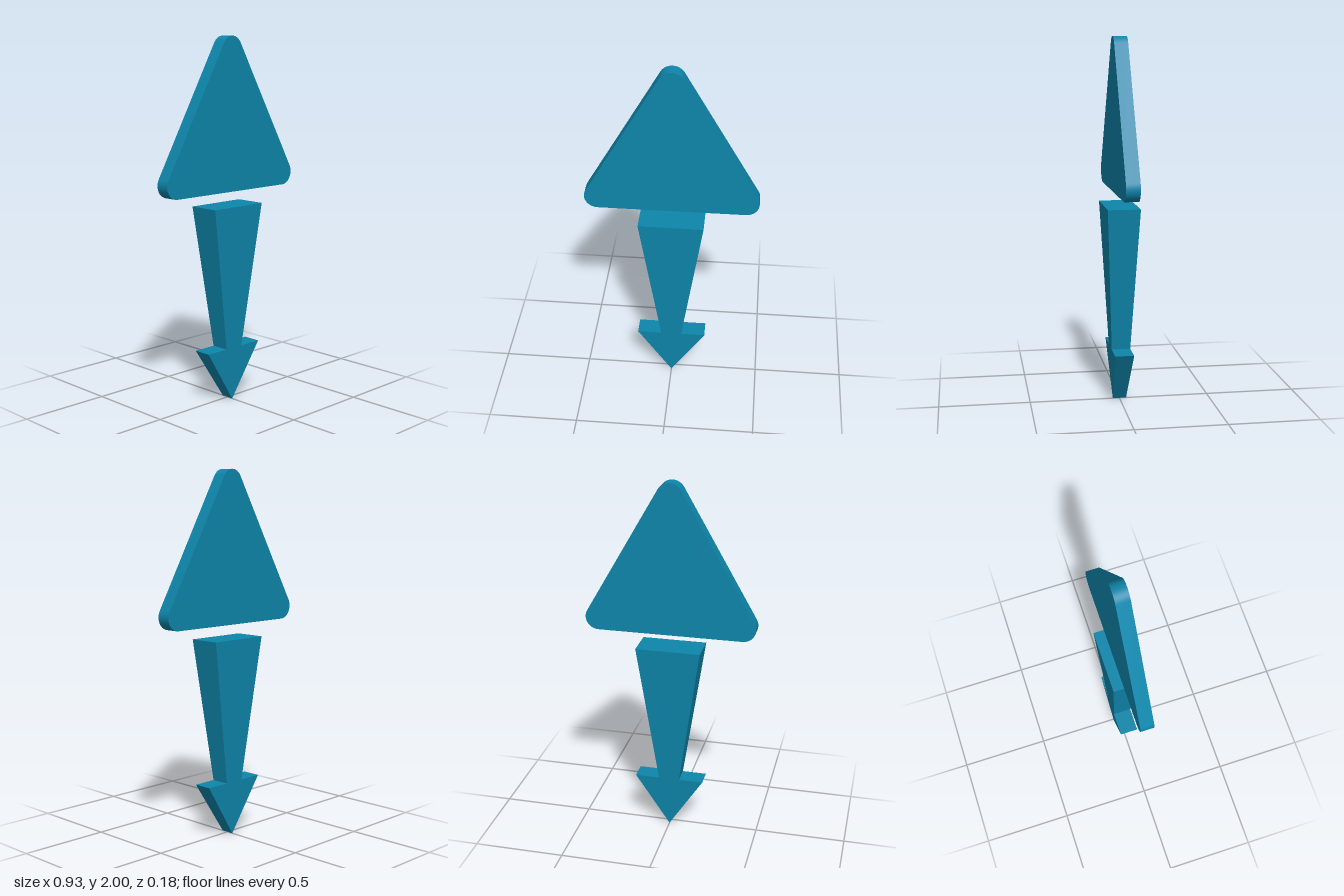
import * as THREE from 'three';
import { toCreasedNormals } from 'three/addons/utils/BufferGeometryUtils.js';

const material = new THREE.MeshStandardMaterial({ color: 0x0e86ab });

function extrudeCentred(shape, depth, curveSegments = 6) {
  const geometry = new THREE.ExtrudeGeometry(shape, { depth, bevelEnabled: false, curveSegments });
  return geometry.translate(0, 0, -depth / 2);
}

// Equilateral plate with rounded corners
function makeTriangle() {
  const r = 0.07;
  const centres = [[-0.397, 1.24], [0.397, 1.24], [0, 1.93]];
  const shape = new THREE.Shape();
  centres.forEach(([x, y], i) => {
    const start = Math.PI * (-7 / 6 + (2 / 3) * i);
    shape.absarc(x, y, r, start, start + (2 * Math.PI) / 3, false);
  });
  const geometry = toCreasedNormals(extrudeCentred(shape, 0.075), Math.PI / 5);
  const mesh = new THREE.Mesh(geometry, material);
  mesh.name = 'triangleHead';
  return mesh;
}

// Downward arrow, growing thicker from its tip to its top
function makeArrow() {
  const topY = 1.095;
  const right = [[0.058, 0.3], [0.177, topY]];
  const outline = [[0, 0], [0.193, 0.3], ...right,
    ...right.map(([x, y]) => [-x, y]).reverse(), [-0.193, 0.3]];
  const shape = new THREE.Shape(outline.map(([x, y]) => new THREE.Vector2(x, y)));
  const geometry = extrudeCentred(shape, 2);
  const p = geometry.attributes.position;
  for (let i = 0; i < p.count; i++) {
    const half = THREE.MathUtils.lerp(0.0375, 0.0885, p.getY(i) / topY);
    p.setZ(i, Math.sign(p.getZ(i)) * half);
  }
  geometry.computeVertexNormals();
  const mesh = new THREE.Mesh(geometry, material);
  mesh.name = 'taperedArrow';
  return mesh;
}

export function createModel() {
  const group = new THREE.Group();
  group.name = 'arrowMarker';
  group.add(makeTriangle(), makeArrow());
  return group;
}
